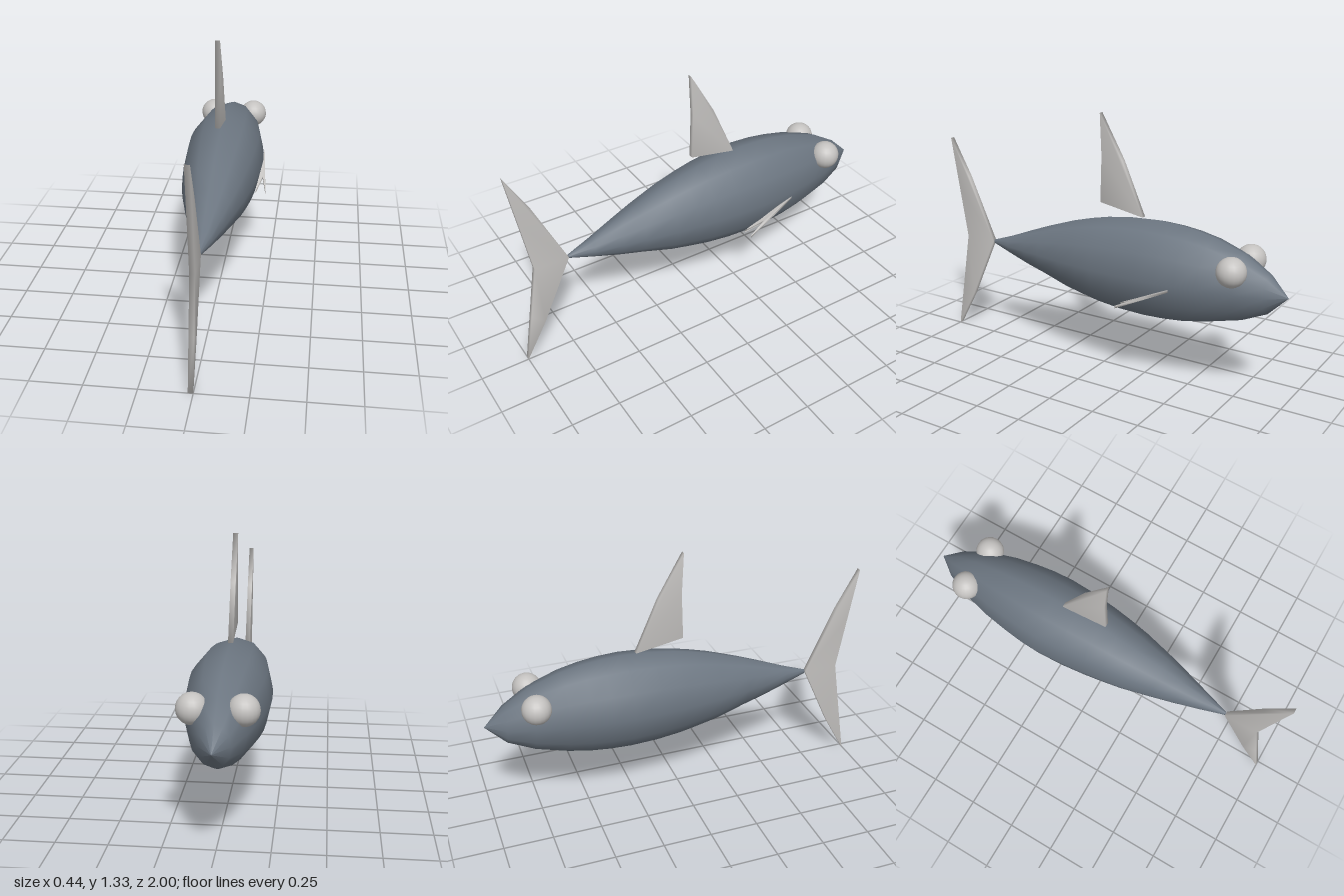
import * as THREE from 'three';
import { mergeVertices } from 'three/addons/utils/BufferGeometryUtils.js';

const AXIS = -0.012; // x of the body's centre plane

// Loft of twelve-sided oval rings along z: [z, centre y, half height, half width]
function loftBody(rings, sides = 12) {
  const pos = [], index = [];
  rings.forEach(([z, cy, ry, rx], i) => {
    for (let j = 0; j < sides; j++) {
      const t = (j / sides) * Math.PI * 2;
      pos.push(AXIS + Math.sin(t) * rx, cy + Math.cos(t) * ry, z);
      if (i === rings.length - 1) continue;
      const a = i * sides + j, b = i * sides + (j + 1) % sides;
      index.push(a, b, a + sides, b, b + sides, a + sides);
    }
  });
  const geo = new THREE.BufferGeometry();
  geo.setAttribute('position', new THREE.Float32BufferAttribute(pos, 3));
  geo.setIndex(index);
  geo.computeVertexNormals();
  return geo;
}

// Thin plate from an outline, with normals smoothed round its edge
function plate(points, depth) {
  const shape = new THREE.Shape(points.map(([u, v]) => new THREE.Vector2(u, v)));
  let geo = new THREE.ExtrudeGeometry(shape, { depth, bevelEnabled: false });
  geo.deleteAttribute('normal');
  geo.deleteAttribute('uv');
  geo = mergeVertices(geo);
  geo.translate(0, 0, -depth / 2);
  return geo;
}

// Upright fin from [z, y] points
function uprightFin(points) {
  const geo = plate(points.map(([z, y]) => [-z, y]), 0.025);
  geo.rotateY(Math.PI / 2).translate(AXIS, 0, 0);
  geo.computeVertexNormals();
  return geo;
}

// Slanting side fin from [z, x] points, dropping towards the tail
function sideFin(points) {
  const geo = plate(points.map(([z, x]) => [-z, x]), 0.014);
  const p = geo.attributes.position;
  for (let i = 0; i < p.count; i++) {
    const z = -p.getX(i);
    p.setXYZ(i, p.getY(i), 0.56 - (z + 0.47) * 0.47 - p.getZ(i), z);
  }
  geo.computeVertexNormals();
  return geo;
}

export function createModel() {
  const skin = new THREE.MeshStandardMaterial({ color: 0x6c7681 });
  skin.name = 'slate skin';
  const pale = new THREE.MeshStandardMaterial({ color: 0xc4c2c0 });
  pale.name = 'pale grey';

  const fish = new THREE.Group();
  fish.name = 'fish';
  const add = (name, geo, mat) => {
    const mesh = new THREE.Mesh(geo, mat);
    mesh.name = name;
    fish.add(mesh);
    return mesh;
  };

  // Body, from the tail root to the snout
  add('body', loftBody([
    [0.728, 0.55, 0, 0],
    [0.725, 0.55, 0.01, 0.008],
    [0.6, 0.553, 0.05, 0.047],
    [0.46, 0.561, 0.098, 0.088],
    [0.35, 0.569, 0.132, 0.118],
    [0.19, 0.574, 0.182, 0.157],
    [0.08, 0.578, 0.208, 0.176],
    [-0.02, 0.58, 0.228, 0.19],
    [-0.15, 0.583, 0.244, 0.204],
    [-0.29, 0.585, 0.25, 0.21],
    [-0.4, 0.585, 0.246, 0.204],
    [-0.5, 0.584, 0.236, 0.191],
    [-0.61, 0.583, 0.215, 0.172],
    [-0.77, 0.577, 0.167, 0.13],
    [-0.9, 0.567, 0.098, 0.075],
    [-1, 0.568, 0, 0],
  ]), skin);

  // Eyes
  for (const [side, name] of [[-1, 'leftEye'], [1, 'rightEye']]) {
    add(name, new THREE.SphereGeometry(0.073, 20, 14), pale)
      .position.set(AXIS + side * 0.114, 0.684, -0.757);
  }

  // Fins
  add('dorsalFin', uprightFin([
    [0.025, 1.335], [0.015, 1.12], [0.022, 0.882], [-0.225, 0.838], [-0.105, 1.11],
  ]), pale);
  add('tailFin', uprightFin([
    [1, 1.105], [0.955, 0.84], [0.907, 0.555], [0.955, 0.27], [1, 0.005],
    [0.885, 0.21], [0.727, 0.552], [0.885, 0.9],
  ]), pale);
  add('sideFin', sideFin([
    [-0.475, 0.192], [-0.36, 0.204], [-0.2, 0.219], [-0.3, 0.196],
    [-0.2, 0.165], [-0.36, 0.175],
  ]), pale);

  return fish;
}
